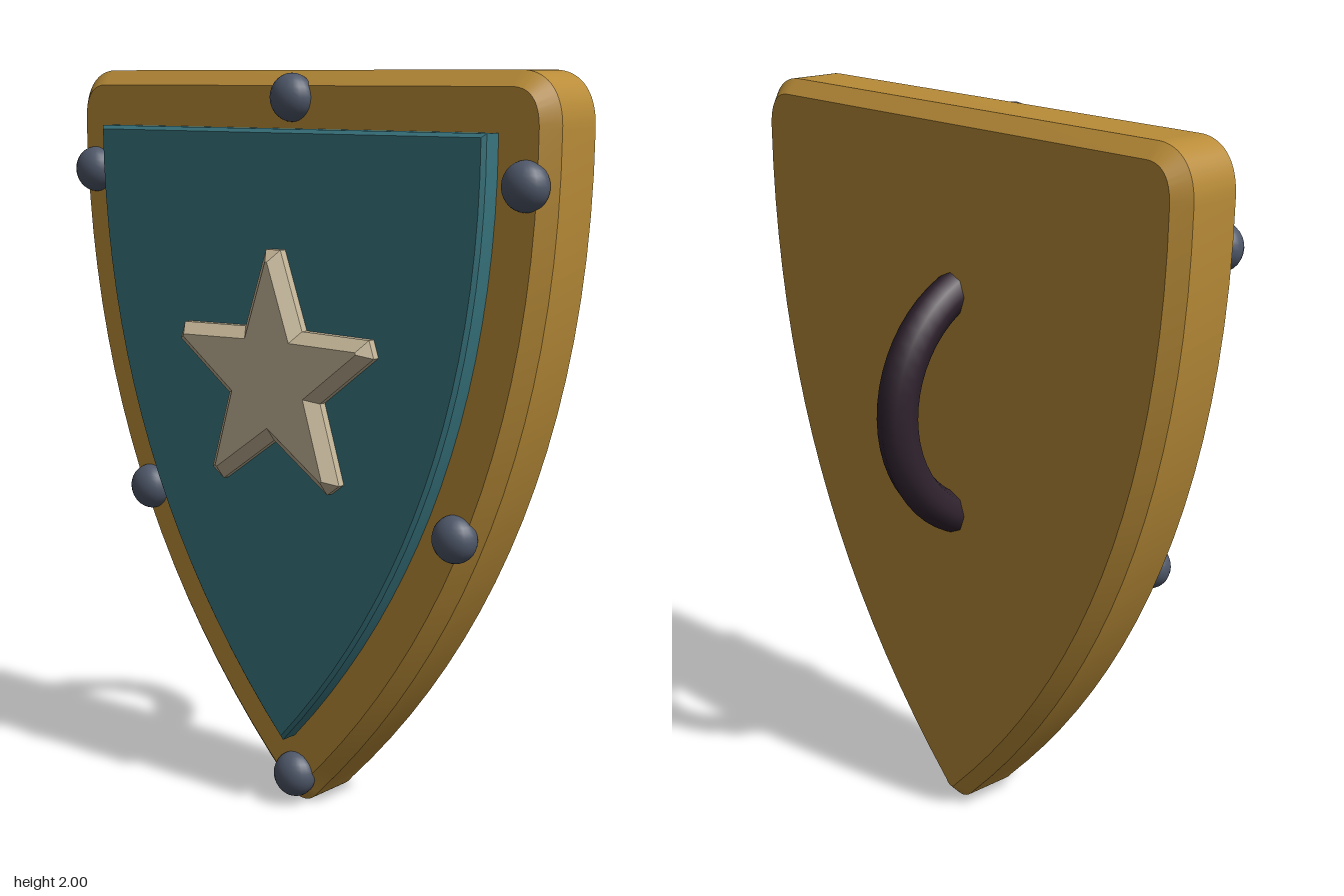
import * as THREE from 'three';
import { toCreasedNormals } from 'three/addons/utils/BufferGeometryUtils.js';

const mat = (name, color) => {
  const m = new THREE.MeshStandardMaterial({ color });
  m.name = name;
  return m;
};

// Bevelled slab filling z = back..front, bevel included
function slab(shape, back, front, bevel) {
  const geo = new THREE.ExtrudeGeometry(shape, {
    depth: front - back - 2 * bevel,
    bevelThickness: bevel,
    bevelSize: bevel,
    bevelSegments: 1,
    curveSegments: 20,
  });
  geo.translate(0, 0, back + bevel);
  return toCreasedNormals(geo, 0.45);
}

// Shield outline with rounded top corners and a softened tip
function bodyShape() {
  const s = new THREE.Shape();
  s.moveTo(-0.02, 0.055);
  s.quadraticCurveTo(0, 0.026, 0.02, 0.055);
  s.quadraticCurveTo(0.76, 0.79, 0.76, 1.86);
  s.quadraticCurveTo(0.76, 1.96, 0.68, 1.96);
  s.lineTo(-0.68, 1.96);
  s.quadraticCurveTo(-0.76, 1.96, -0.76, 1.86);
  s.quadraticCurveTo(-0.76, 0.79, -0.02, 0.055);
  return s;
}

// Inner field with sharp corners
function panelShape() {
  const s = new THREE.Shape();
  s.moveTo(0, 0.21);
  s.quadraticCurveTo(0.635, 0.9, 0.635, 1.84);
  s.lineTo(-0.635, 1.84);
  s.quadraticCurveTo(-0.635, 0.9, 0, 0.21);
  return s;
}

// Five-pointed star; each tip is a close pair of points so its bevel is blunt
function starShape(cy, outer, inner) {
  const pts = [];
  const add = (r, a) => pts.push(new THREE.Vector2(r * Math.cos(a), cy + r * Math.sin(a)));
  for (let i = 0; i < 5; i++) {
    const a = Math.PI / 2 + (i * Math.PI * 2) / 5;
    add(outer, a - 0.01);
    add(outer, a + 0.01);
    add(inner, a + Math.PI / 5);
  }
  return new THREE.Shape(pts);
}

export function createModel() {
  const gold = mat('gold', 0xb98c38);
  const teal = mat('teal', 0x38757f);
  const ivory = mat('ivory', 0xc4b597);
  const steel = mat('steel', 0x4f586a);
  const leather = mat('dark leather', 0x30232f);

  const model = new THREE.Group();
  model.name = 'shield';
  const add = (name, geo, material) => {
    const mesh = new THREE.Mesh(geo, material);
    mesh.name = name;
    model.add(mesh);
    return mesh;
  };

  add('body', slab(bodyShape(), -0.045, 0.185, 0.04), gold);
  add('panel', slab(panelShape(), 0.15, 0.245, 0.01), teal);
  add('star', slab(starShape(1.2, 0.31, 0.128), 0.205, 0.295, 0.03), ivory);

  // Flattened rivet heads around the rim
  const rivetGeo = new THREE.SphereGeometry(0.063, 20, 14);
  const rivets = [[0, 1.93], [0.725, 1.725], [-0.725, 1.725], [0.53, 0.83], [-0.53, 0.83], [0, 0.085]];
  for (const [x, y] of rivets) {
    const rivet = add('rivet', rivetGeo, steel);
    rivet.position.set(x, y, 0.185);
    rivet.scale.z = 0.82;
  }

  // Curved grip on the back, ends sunk into the body
  const grip = new THREE.TorusGeometry(0.346, 0.055, 8, 28, Math.PI);
  grip.rotateZ(-Math.PI / 2);
  grip.rotateY(Math.PI / 2);
  add('handle', grip, leather).position.set(0, 1.2, 0.112);

  return model;
}
